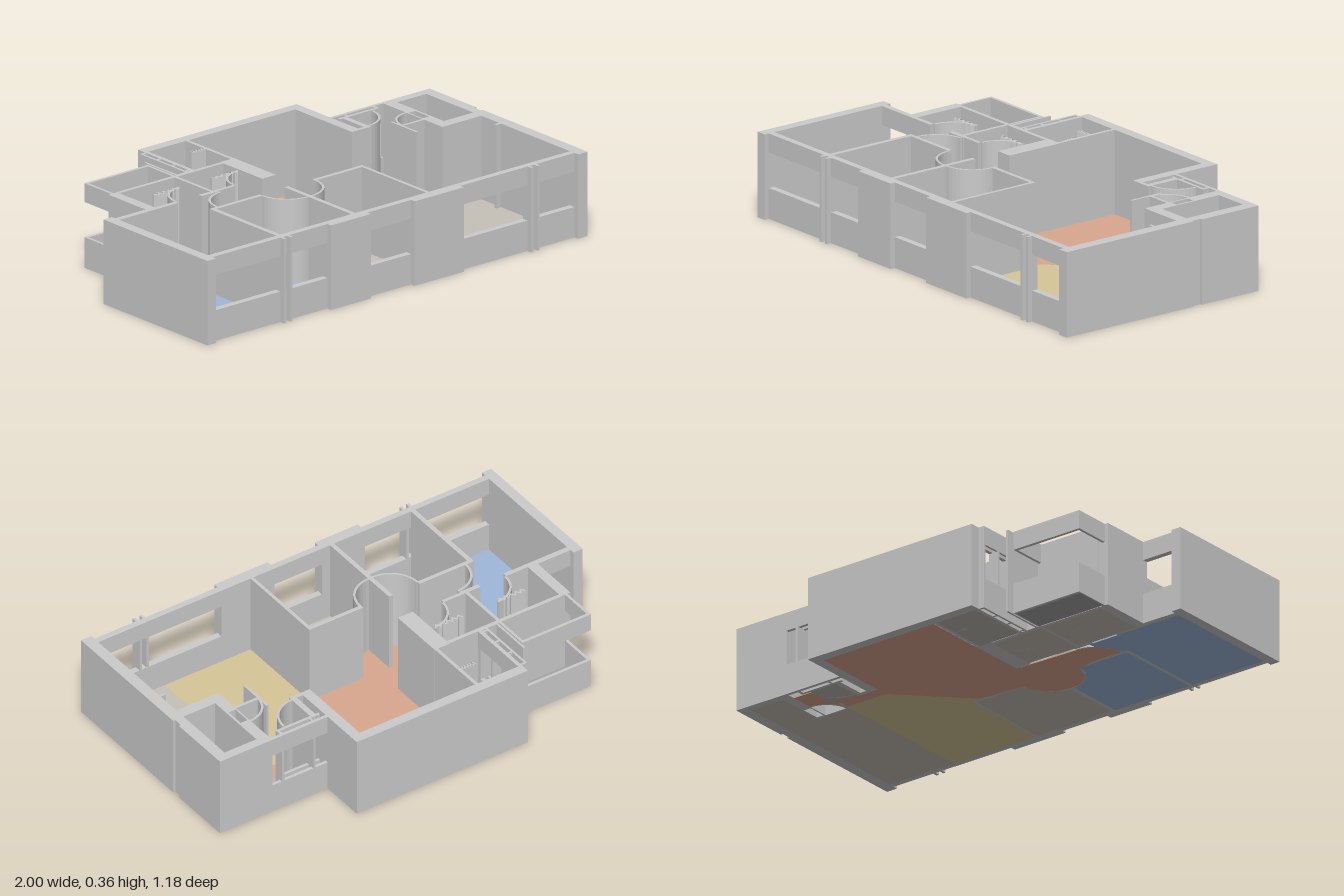
import * as THREE from 'three';

const H = 0.36, SILL = 0.13, HEAD = 0.28;
const mat = (color) => new THREE.MeshStandardMaterial({ color, flatShading: true });

export function createModel() {
  const model = new THREE.Group();
  model.name = 'apartment';
  const grey = mat(0xcccccc);

  const add = (name, geo, material = grey) => {
    const mesh = new THREE.Mesh(geo, material);
    mesh.name = name;
    model.add(mesh);
    return mesh;
  };
  // Upright block over a plan rectangle
  const wall = (name, x0, x1, z0, z1, y0 = 0, y1 = H) => {
    const geo = new THREE.BoxGeometry(x1 - x0, y1 - y0, z1 - z0);
    geo.translate((x0 + x1) / 2, (y0 + y1) / 2, (z0 + z1) / 2);
    return add(name, geo);
  };
  // Parapet and lintel with an open window between them
  const windowWall = (name, x0, x1, z0, z1) => {
    wall(name + 'Sill', x0, x1, z0, z1, 0, SILL);
    wall(name + 'Lintel', x0, x1, z0, z1, HEAD, H);
  };
  // Plan outline [x, z] raised to a height
  const raise = (name, pts, height, material) => {
    const shape = new THREE.Shape(pts.map(([x, z]) => new THREE.Vector2(x, -z)));
    const geo = new THREE.ExtrudeGeometry(shape, { depth: height, bevelEnabled: false });
    geo.rotateX(-Math.PI / 2);
    return add(name, geo, material);
  };
  // Points on a quarter circle; angles in degrees, 0 = +x, 90 = +z
  const arc = (cx, cz, r, a0, n = 12) => Array.from({ length: n + 1 }, (_, i) => {
    const a = (a0 + (90 * i) / n) * Math.PI / 180;
    return [cx + r * Math.cos(a), cz + r * Math.sin(a)];
  });
  // Thin curved screen that follows a door swing
  const doorSwing = (cx, cz, r, a0) =>
    raise('doorSwing', [...arc(cx, cz, r, a0), ...arc(cx, cz, r - 0.01, a0).reverse()], H);

  // Floors
  const T = 0.004;
  const blue = mat(0x9fb8da), orange = mat(0xdaa78f), yellow = mat(0xd6c698);
  const stone = mat(0xc6c1b8), tile = mat(0xb9b8b0), dark = mat(0xa4a4a4);
  const floor = (name, x0, x1, z0, z1, m) =>
    raise(name, [[x0, z0], [x1, z0], [x1, z1], [x0, z1]], T, m);
  raise('mainBedroomFloor', [[-0.955, -0.01], [-0.5, -0.01], ...arc(-0.43, 0.125, 0.125, 180).reverse(),
    [-0.59, 0.125], [-0.59, 0.545], [-0.955, 0.545]].filter(([x]) => x < -0.495), T, blue);
  raise('secondBedroomFloor', [[-0.575, 0.14], ...arc(-0.2, 0.14, 0.13, 90).reverse(),
    [-0.2, 0.545], [-0.575, 0.545]], T, blue);
  raise('thirdBedroomFloor', [...arc(-0.18, 0.14, 0.13, 0).reverse(), [0.2, 0.14],
    [0.2, 0.545], [-0.18, 0.545]], T, stone);
  raise('livingFloor', [[-0.13, -0.55], [0.43, -0.55], [0.43, -0.215], [0.53, -0.215],
    ...arc(0.53, -0.34, 0.125, 0).reverse(), [0.745, -0.34], ...arc(0.745, -0.125, 0.11, 180).reverse(),
    [0.625, -0.145], [0.43, -0.145], [0.16, 0.125], [-0.05, 0.14], ...arc(-0.18, 0.14, 0.13, 0),
    ...arc(-0.2, 0.14, 0.13, 90), [-0.43, 0.125], ...arc(-0.43, 0.125, 0.125, 180), [-0.13, -0.01]], T, orange);
  raise('diningFloor', [[0.16, 0.125], [0.43, -0.145], [0.625, -0.145], [0.625, 0.545],
    [0.205, 0.545], [0.205, 0.125]], T, yellow);
  floor('terraceFloor', 0.625, 0.95, -0.125, 0.545, stone);
  floor('utilityFloor', 0.79, 0.95, -0.355, -0.055, stone);
  floor('bathFloorA', -0.75, -0.46, -0.25, -0.02, stone);
  floor('bathFloorB', -0.445, -0.2, -0.25, -0.02, stone);
  floor('bathFloorC', -0.345, -0.145, -0.55, -0.27, tile);
  floor('toiletFloor', 0.53, 0.655, -0.345, -0.215, tile);
  floor('serviceBalconyFloor', -0.775, -0.45, -0.42, -0.27, dark);

  // Front facade: piers, window bays and mullion posts
  [[-1, -0.955], [-0.35, -0.14], [0.09, 0.35], [0.95, 1]].forEach(([a, b]) => wall('frontPier', a, b, 0.54, 0.59));
  [[-0.955, -0.35], [-0.14, 0.09], [0.35, 0.95]].forEach(([a, b]) => windowWall('frontWindow', a, b, 0.54, 0.568));
  [-0.575, 0.725].forEach((x) => [-1, 1].forEach((s) =>
    wall('mullionPost', x + s * 0.017 - 0.006, x + s * 0.017 + 0.006, 0.54, 0.59)));

  // Outer walls
  wall('outerWallRight', -1, -0.955, -0.055, 0.54);
  windowWall('bedroomBackWindow', -0.955, -0.79, -0.035, -0.01);
  wall('bathOuterWall', -0.795, -0.75, -0.265, -0.01);
  wall('livingBackWall', -0.36, 0.475, -0.595, -0.55);
  wall('livingSideWall', 0.43, 0.475, -0.55, -0.21);
  wall('outerWallLeft', 0.95, 1, -0.06, 0.54);
  wall('outerWallNotch', 0.95, 0.99, -0.1, -0.06);
  wall('outerWallLeftBack', 0.95, 1, -0.39, -0.1);
  windowWall('entryBackWindow', 0.475, 0.745, -0.39, -0.375);
  windowWall('entryInnerWindow', 0.49, 0.69, -0.358, -0.345);
  wall('entryWindowPost', 0.685, 0.698, -0.39, -0.345);
  wall('entryWindowPost', 0.535, 0.545, -0.39, -0.345);

  // Utility room with an open duct in its side wall
  wall('utilityBackWall', 0.745, 0.95, -0.39, -0.35);
  wall('utilityFrontWall', 0.745, 0.95, -0.06, -0.01);
  wall('utilitySideWall', 0.745, 0.795, -0.35, -0.225);
  wall('utilitySideWall', 0.745, 0.795, -0.14, -0.06);
  wall('ductWall', 0.745, 0.752, -0.225, -0.14);
  wall('ductWall', 0.785, 0.795, -0.225, -0.14);

  // Service balcony
  windowWall('balconyBack', -0.78, -0.445, -0.432, -0.418);
  windowWall('balconySide', -0.78, -0.768, -0.418, -0.265);
  windowWall('balconySide', -0.457, -0.445, -0.418, -0.265);
  wall('balconyPost', -0.44, -0.43, -0.46, -0.265);

  // Bathroom walls and shaft
  wall('bathBackWall', -0.75, -0.2, -0.267, -0.25);
  wall('bathDivider', -0.46, -0.445, -0.25, -0.02);
  wall('bathFrontWall', -0.75, -0.645, -0.03, -0.01);
  wall('bathFrontWall', -0.52, -0.43, -0.03, -0.01);
  wall('bathFrontWall', -0.43, -0.34, -0.03, -0.015);
  wall('bathColumn', -0.203, -0.13, -0.27, -0.01);
  wall('bathLivingWall', -0.147, -0.132, -0.55, -0.21);
  windowWall('shaftWall', -0.36, -0.343, -0.55, -0.265);
  windowWall('shaftScreen', -0.387, -0.377, -0.55, -0.27);
  [-0.55, -0.46, -0.37, -0.285].forEach((z) => wall('shaftPost', -0.387, -0.343, z, z + 0.01));
  wall('shaftSill', -0.43, -0.343, -0.27, -0.255);

  // Bedroom partitions
  wall('bedroomWall', -0.595, -0.33, 0.125, 0.143);
  wall('bedroomWall', -0.055, 0.208, 0.125, 0.143);
  [[-0.595, -0.574], [-0.2, -0.18], [0.193, 0.208]].forEach(([a, b]) => wall('bedroomPartition', a, b, 0.125, 0.54));

  // Entry and toilet partitions
  wall('entryStub', 0.43, 0.515, -0.215, -0.198);
  wall('toiletWall', 0.505, 0.53, -0.345, -0.198);
  wall('kitchenWall', 0.625, 0.636, -0.19, -0.03);
  wall('kitchenStub', 0.636, 0.745, -0.135, -0.122);
  wall('terraceHook', 0.925, 0.95, 0.1, 0.112);

  // Door swings
  doorSwing(-0.43, 0.125, 0.13, 180);
  doorSwing(-0.2, 0.14, 0.135, 90);
  doorSwing(-0.18, 0.14, 0.135, 0);
  doorSwing(-0.52, -0.03, 0.125, 180);
  doorSwing(-0.22, -0.03, 0.12, 180);
  doorSwing(0.53, -0.34, 0.13, 0);
  doorSwing(0.745, -0.125, 0.115, 180);

  // Pleated screens in the bathrooms
  const pleats = (x0, x1, z) => {
    const n = 10, top = [], bottom = [];
    for (let i = 0; i <= n; i++) {
      const x = x0 + ((x1 - x0) * i) / n, dz = i % 2 ? 0.012 : -0.006;
      top.push([x, z + dz - 0.006]);
      bottom.unshift([x, z + dz + 0.006]);
    }
    raise('pleatedScreen', [...top, ...bottom], H);
  };
  pleats(-0.655, -0.525, -0.147);
  pleats(-0.35, -0.215, -0.147);
  pleats(-0.215, -0.147, -0.435);

  return model;
}
